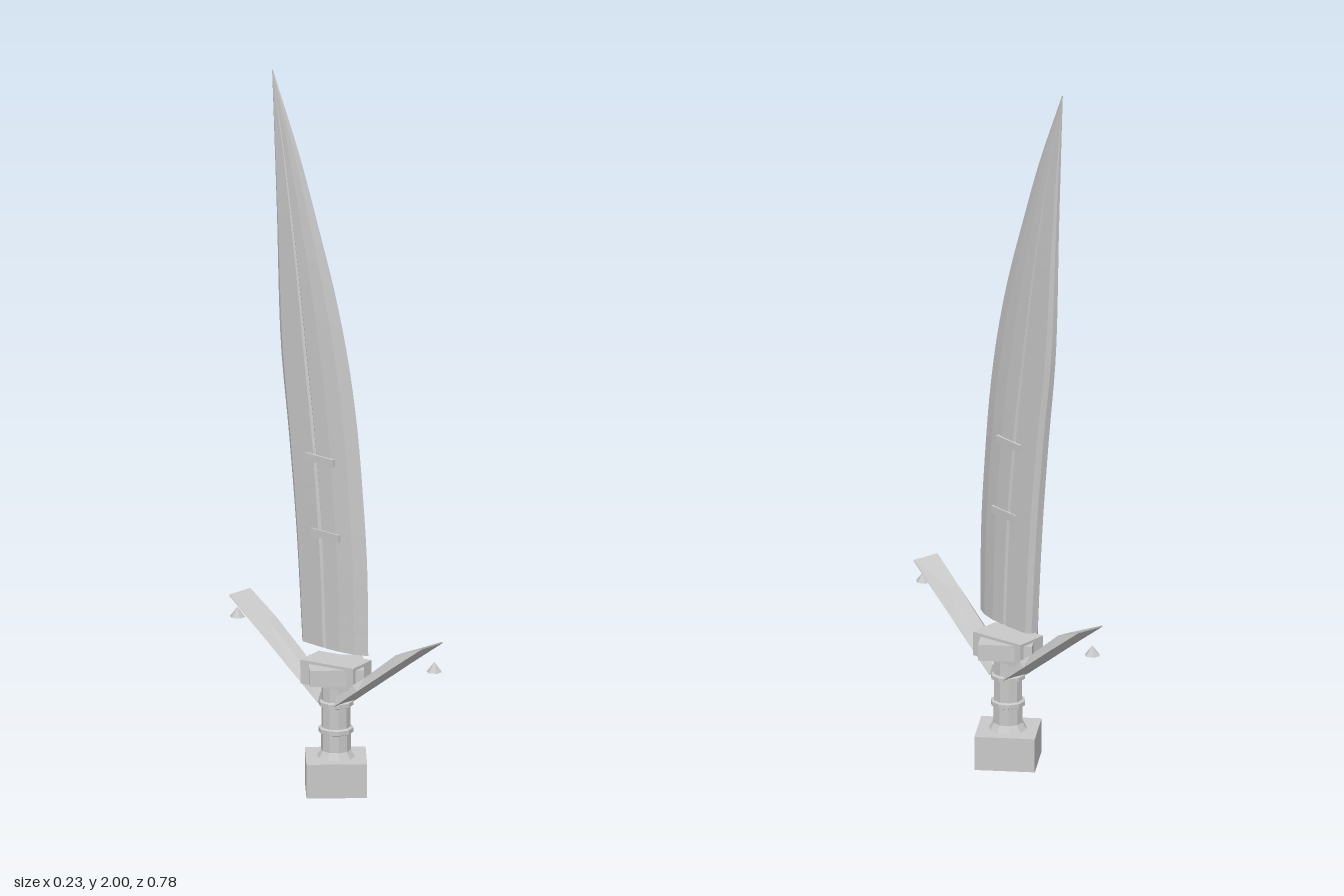
import * as THREE from 'three';

const steel = new THREE.MeshStandardMaterial({ color: 0xc8c8c8 });
steel.name = 'steel';

// Flat-shaded mesh: faces get their own normals.
function part(name, geometry, parent) {
  const g = geometry.index ? geometry.toNonIndexed() : geometry;
  g.computeVertexNormals();
  const mesh = new THREE.Mesh(g, steel);
  mesh.name = name;
  parent.add(mesh);
  return mesh;
}

// Closed solid through equal-length loops of [x, y, z], counter-clockwise about the sweep.
function loft(rows) {
  const n = rows[0].length, last = (rows.length - 1) * n, index = [];
  for (let r = 0; r < rows.length - 1; r++) {
    for (let i = 0; i < n; i++) {
      const a = r * n + i, b = r * n + (i + 1) % n;
      index.push(a, b, b + n, a, b + n, a + n);
    }
  }
  for (let i = 1; i < n - 1; i++) {
    index.push(0, i + 1, i, last, last + i, last + i + 1);
  }
  const g = new THREE.BufferGeometry();
  g.setAttribute('position', new THREE.Float32BufferAttribute(rows.flat(2), 3));
  g.setIndex(index);
  return g;
}

// Smooth outline sampled by height: points are [value, y].
function outline(points) {
  return y => {
    let i = 0;
    while (i < points.length - 2 && y > points[i + 1][1]) i++;
    const p = k => points[Math.min(points.length - 1, Math.max(0, k))];
    const slope = k => (p(k + 1)[0] - p(k - 1)[0]) / (p(k + 1)[1] - p(k - 1)[1]);
    const h = p(i + 1)[1] - p(i)[1], t = (y - p(i)[1]) / h, t2 = t * t, t3 = t2 * t;
    return (2 * t3 - 3 * t2 + 1) * p(i)[0] + (t3 - 2 * t2 + t) * h * slope(i)
      + (3 * t2 - 2 * t3) * p(i + 1)[0] + (t3 - t2) * h * slope(i + 1);
  };
}

function bladeGeometry() {
  const edge = outline([[0.121, 0.405], [0.117, 0.656], [0.1, 0.868], [0.079, 1.05], [0.048, 1.22],
    [0, 1.4], [-0.063, 1.58], [-0.138, 1.78], [-0.237, 2]]);
  const spine = outline([[-0.116, 0.405], [-0.138, 0.71], [-0.166, 0.97], [-0.2, 1.24],
    [-0.217, 1.61], [-0.239, 2]]);
  const half = outline([[0.027, 0.405], [0.025, 0.8], [0.021, 1.15], [0.013, 1.6], [0.001, 2]]);
  // One side of the section: [fraction from edge to spine, fraction of half thickness]
  const side = [[0.16, 0.6], [0.36, 0.95], [0.56, 1], [0.585, 0.75], [0.61, 1], [0.94, 0.85], [1, 0.4]];
  const rows = [];
  for (let k = 0; k <= 28; k++) {
    const y = 0.405 + 1.595 * k / 28, f = edge(y), b = spine(y), w = half(y);
    const right = side.map(([s, t]) => [w * t, y, f + (b - f) * s]);
    const left = right.map(([x, yy, z]) => [-x, yy, z]).reverse();
    rows.push([[0, y, f], ...right, ...left]);
  }
  return loft(rows);
}

// Upswept guard arm with a narrow raised top: [z, bottom y, top y, half width of top]
function armGeometry() {
  const stations = [[0.03, 0.25, 0.277, 0.03], [0.09, 0.293, 0.322, 0.03], [0.12, 0.314, 0.345, 0.017],
    [0.24, 0.4, 0.437, 0.017], [0.36, 0.484, 0.488, 0.041]];
  return loft(stations.map(([z, lo, hi, w]) =>
    [[-0.042, lo, z], [0.042, lo, z], [w, hi, z], [-w, hi, z]]));
}

export function createModel() {
  const model = new THREE.Group();
  model.name = 'sword';

  part('blade', bladeGeometry(), model);

  // Bars clipped across the blade
  for (const [y, z] of [[0.727, -0.015], [0.937, -0.037]]) {
    part('bladeBar', new THREE.BoxGeometry(0.06, 0.021, 0.104), model).position.set(0, y, z);
  }

  // Square pommel turned on its corner
  part('pommel', new THREE.CylinderGeometry(0.117, 0.117, 0.096, 4), model).position.y = 0.048;

  // Grip with a flared foot and two rings
  const profile = [[0.054, 0.094], [0.041, 0.115], [0.041, 0.163], [0.048, 0.166], [0.048, 0.178],
    [0.04, 0.181], [0.04, 0.24], [0.048, 0.243], [0.048, 0.254], [0.04, 0.257], [0.04, 0.31]];
  part('grip', new THREE.LatheGeometry(profile.map(p => new THREE.Vector2(...p)), 10), model);

  // Collar: a diamond block crossed by a turned block
  part('collarDiamond', new THREE.CylinderGeometry(0.105, 0.105, 0.046, 4), model).position.y = 0.338;
  const block = part('collarBlock', new THREE.BoxGeometry(0.097, 0.068, 0.167), model);
  block.position.y = 0.335;
  block.rotation.y = 0.215;

  // Guard arms, each with a small stud beyond its tip
  for (const turn of [0, Math.PI]) {
    const guard = new THREE.Group();
    guard.name = turn ? 'backGuard' : 'frontGuard';
    guard.rotation.y = turn;
    part('guardArm', armGeometry(), guard);
    const stud = part('guardStud', new THREE.ConeGeometry(0.022, 0.028, 6), guard);
    stud.position.set(0, 0.428, 0.369);
    stud.rotation.y = Math.PI / 6;
    model.add(guard);
  }
  return model;
}
